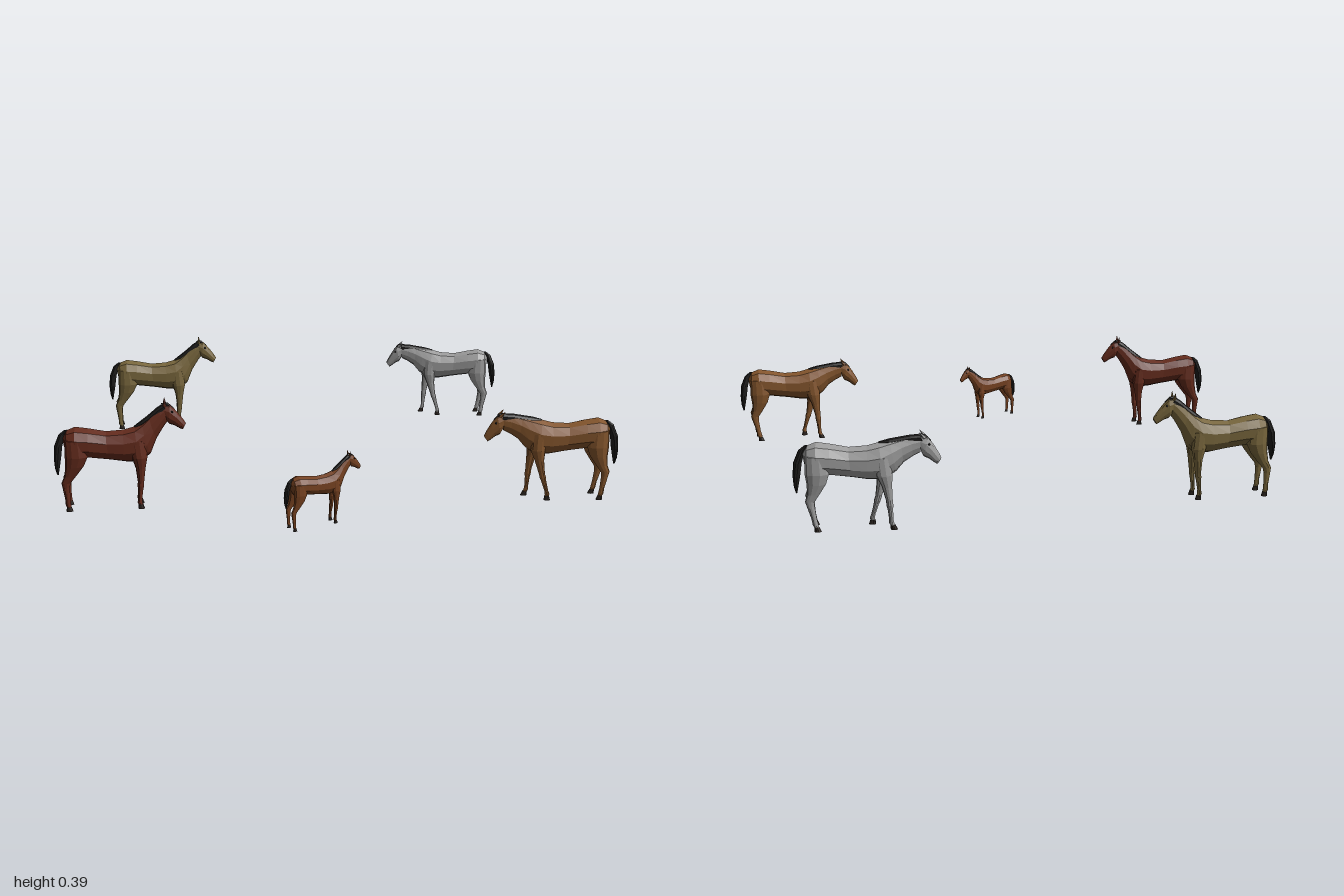
import * as THREE from 'three';

const SIDES = 10;

// Solid skinned over rings. Each ring is [ax, ay, bx, by, halfWidth], where
// a and b are its two extremes in the side profile. cz shifts it sideways.
function loft(rings, cz = 0) {
  const loops = rings.map(([ax, ay, bx, by, w]) => {
    const loop = [];
    for (let i = 0; i < SIDES; i++) {
      const t = (i / SIDES) * Math.PI * 2;
      const c = Math.cos(t) / 2;
      loop.push(new THREE.Vector3((ax + bx) / 2 + (ax - bx) * c, (ay + by) / 2 + (ay - by) * c, cz + w * Math.sin(t)));
    }
    return loop;
  });
  const tris = [];
  for (let r = 0; r < loops.length - 1; r++) {
    for (let i = 0; i < SIDES; i++) {
      const j = (i + 1) % SIDES;
      const [p, q, s, t] = [loops[r][i], loops[r][j], loops[r + 1][j], loops[r + 1][i]];
      tris.push([p, q, s], [p, s, t]);
    }
  }
  const last = loops[loops.length - 1];
  for (let i = 1; i < SIDES - 1; i++) {
    tris.push([loops[0][0], loops[0][i + 1], loops[0][i]], [last[0], last[i], last[i + 1]]);
  }
  // Turn all faces outward, whichever way the rings run
  const volume = tris.reduce((v, [a, b, c]) => v + a.dot(b.clone().cross(c)), 0);
  if (volume < 0) tris.forEach((t) => t.reverse());
  const geometry = new THREE.BufferGeometry().setFromPoints(tris.flat());
  geometry.computeVertexNormals();
  return geometry;
}

// Level rings [y, frontX, backX, halfWidth]; the foot swings by shear
const level = (rows, shear = 0) => rows.map(([y, f, b, w]) => {
  const s = shear * Math.max(0, 1 - y / 0.2);
  return [f + s, y, b + s, y, w];
});

const TORSO = [
  [-0.168, 0.265, -0.162, 0.22, 0.02],
  [-0.155, 0.287, -0.15, 0.195, 0.042],
  [-0.125, 0.299, -0.12, 0.185, 0.054],
  [-0.08, 0.292, -0.08, 0.185, 0.05],
  [-0.02, 0.28, -0.01, 0.176, 0.043],
  [0.04, 0.284, 0.045, 0.167, 0.045],
  [0.08, 0.295, 0.095, 0.166, 0.045],
];
const NECK_HIGH = [
  [0.105, 0.311, 0.13, 0.195, 0.035],
  [0.13, 0.33, 0.153, 0.25, 0.024],
  [0.163, 0.358, 0.18, 0.293, 0.018],
  [0.185, 0.372, 0.197, 0.315, 0.014],
];
const NECK_LOW = [
  [0.115, 0.302, 0.135, 0.195, 0.035],
  [0.15, 0.308, 0.16, 0.225, 0.025],
  [0.185, 0.314, 0.19, 0.245, 0.018],
  [0.218, 0.316, 0.214, 0.257, 0.014],
];
// Head profile with the poll at the origin
const HEAD = [
  [-0.004, 0.0, 0.002, -0.055, 0.014],
  [0.022, -0.003, 0.012, -0.073, 0.018],
  [0.044, -0.032, 0.03, -0.08, 0.015],
  [0.062, -0.06, 0.047, -0.092, 0.012],
  [0.07, -0.076, 0.056, -0.097, 0.01],
];
const FRONT_LEG = [
  [0.25, 0.115, 0.06, 0.016],
  [0.19, 0.12, 0.066, 0.02],
  [0.15, 0.111, 0.077, 0.014],
  [0.1, 0.103, 0.081, 0.01],
  [0.085, 0.102, 0.079, 0.0105],
  [0.07, 0.098, 0.08, 0.008],
  [0.035, 0.092, 0.078, 0.007],
  [0.022, 0.092, 0.075, 0.008],
  [0.014, 0.094, 0.079, 0.0072],
];
const HIND_LEG = [
  [0.26, -0.09, -0.16, 0.018],
  [0.2, -0.083, -0.162, 0.023],
  [0.165, -0.1, -0.163, 0.019],
  [0.13, -0.128, -0.169, 0.013],
  [0.105, -0.149, -0.181, 0.01],
  [0.09, -0.153, -0.179, 0.009],
  [0.045, -0.155, -0.173, 0.007],
  [0.022, -0.154, -0.173, 0.008],
  [0.014, -0.154, -0.169, 0.0072],
];
const TAIL = [
  [0.287, -0.15, -0.164, 0.007],
  [0.272, -0.16, -0.183, 0.01],
  [0.23, -0.173, -0.201, 0.017],
  [0.185, -0.18, -0.205, 0.02],
  [0.15, -0.187, -0.203, 0.014],
  [0.125, -0.192, -0.197, 0.004],
];

function horse({ name, color, low = false, at, turn, size = 1, girth = 1 }) {
  const paint = (c) => new THREE.MeshStandardMaterial({ color: c, flatShading: true });
  const coat = paint(color);
  const hair = paint(0x1c1b1a);
  const horn = paint(0x2b241f);
  const group = new THREE.Group();
  group.name = name;
  const add = (part, geometry, material, parent = group) => {
    const mesh = new THREE.Mesh(geometry, material);
    mesh.name = part;
    parent.add(mesh);
    return mesh;
  };

  // Torso running into the neck
  const neck = low ? NECK_LOW : NECK_HIGH;
  add('bodyAndNeck', loft([...TORSO, ...neck]), coat);

  // Mane along the crest of the neck
  const crest = [TORSO[6], ...neck];
  add('mane', loft(crest.map(([x, y], i) => [x - 0.004, y + (i ? 0.004 : 0.001), x + 0.007, y - (i ? 0.026 : 0.008), i ? 0.0135 : 0.005])), hair);
  add('tail', loft(level(TAIL)), hair);

  // Head with ears, eyes and forelock
  const head = new THREE.Group();
  head.name = 'head';
  head.position.set(low ? 0.217 : 0.182, low ? 0.316 : 0.373, 0);
  head.rotation.z = low ? -0.05 : 0.06;
  group.add(head);
  add('skull', loft(HEAD), coat, head);
  add('forelock', loft([[-0.008, 0.004, 0, -0.012, 0.009], [0.014, 0.004, 0.012, -0.008, 0.008], [0.034, -0.016, 0.03, -0.02, 0.002]]), hair, head);
  for (const side of [1, -1]) {
    const ear = add('ear', new THREE.ConeGeometry(0.007, 0.028, 4), coat, head);
    ear.position.set(0.003, low ? 0.004 : 0.007, side * 0.014);
    ear.rotation.set(side * 0.35, 0, low ? 0.7 : 0);
    const eye = add('eye', new THREE.SphereGeometry(0.004, 6, 4), hair, head);
    eye.position.set(0.028, -0.027, side * 0.0145);
  }

  // Legs and hooves; the horses with lowered heads stand mid-stride
  for (const side of [1, -1]) {
    const limbs = [
      ['frontLeg', FRONT_LEG, 0.027, low ? (side > 0 ? 0.036 : -0.038) : side * 0.003],
      ['hindLeg', HIND_LEG, 0.033, low ? 0.028 + side * 0.006 : side * 0.003],
    ];
    for (const [part, rows, z, shear] of limbs) {
      add(part, loft(level(rows, shear), side * z), coat);
      const [y, f, b] = rows[rows.length - 1];
      add('hoof', loft(level([[y + 0.002, f + 0.001, b - 0.001, 0.008], [0, f + 0.006, b - 0.003, 0.009]], shear), side * z), horn);
    }
  }

  group.position.set(at[0], 0, at[1]);
  group.rotation.y = turn;
  group.scale.set(size, size, size * girth);
  return group;
}

export function createModel() {
  const herd = new THREE.Group();
  herd.name = 'herd';
  herd.add(
    horse({ name: 'chestnutHorse', color: 0x642b1c, at: [-0.795, 0.46], turn: 0.06 }),
    horse({ name: 'dunHorse', color: 0x78663c, at: [-0.76, -0.511], turn: 0.06 }),
    horse({ name: 'greyHorse', color: 0x9c9c9c, low: true, at: [0.532, -0.663], turn: Math.PI - 0.06 }),
    horse({ name: 'bayHorse', color: 0x84552c, low: true, at: [0.795, 0.418], turn: Math.PI + 0.02 }),
    horse({ name: 'foal', color: 0x74401f, at: [-0.08, 0.65], turn: 0.45, size: 0.625, girth: 0.95 }),
  );
  return herd;
}
